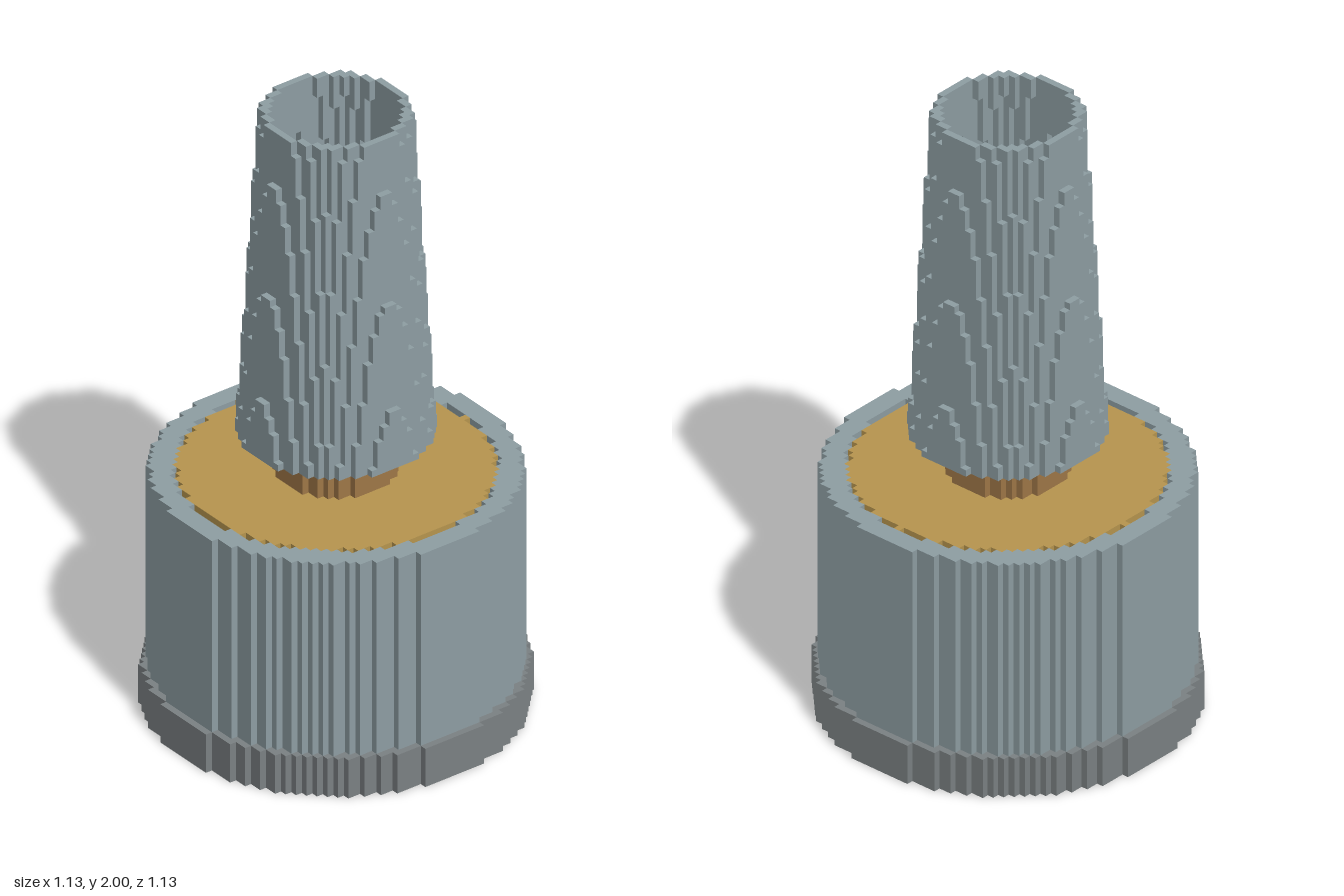
import * as THREE from 'three';

const V = 2 / 92; // edge of one cube
const SPAN = 27;  // half-width of the cube grid

// Outer shell of stacked cube layers. layers: [{ y0, y1, inside(i, j) }], bottom to top.
function cubeShell(name, color, layers) {
  const pos = [], nor = [];
  const quad = (a, u, v, n) => {
    const p = (s, t) => a.map((c, k) => (c + u[k] * s + v[k] * t) * V);
    for (const q of [p(0, 0), p(1, 0), p(1, 1), p(0, 0), p(1, 1), p(0, 1)]) {
      pos.push(...q);
      nor.push(...n);
    }
  };
  layers.forEach(({ y0, y1, inside }, k) => {
    const h = y1 - y0;
    const filled = (layer, i, j) => !!layer && layer.inside(i, j);
    for (let i = -SPAN; i < SPAN; i++) for (let j = -SPAN; j < SPAN; j++) {
      if (!inside(i, j)) continue;
      if (!inside(i + 1, j)) quad([i + 1, y0, j], [0, h, 0], [0, 0, 1], [1, 0, 0]);
      if (!inside(i - 1, j)) quad([i, y0, j], [0, 0, 1], [0, h, 0], [-1, 0, 0]);
      if (!inside(i, j + 1)) quad([i, y0, j + 1], [1, 0, 0], [0, h, 0], [0, 0, 1]);
      if (!inside(i, j - 1)) quad([i, y0, j], [0, h, 0], [1, 0, 0], [0, 0, -1]);
      if (!filled(layers[k + 1], i, j)) quad([i, y1, j], [0, 0, 1], [1, 0, 0], [0, 1, 0]);
      if (!filled(layers[k - 1], i, j)) quad([i, y0, j], [1, 0, 0], [0, 0, 1], [0, -1, 0]);
    }
  });
  const geo = new THREE.BufferGeometry();
  geo.setAttribute('position', new THREE.Float32BufferAttribute(pos, 3));
  geo.setAttribute('normal', new THREE.Float32BufferAttribute(nor, 3));
  const mesh = new THREE.Mesh(geo, new THREE.MeshStandardMaterial({ color }));
  mesh.name = name;
  return mesh;
}

// Cells whose centre lies between two radii
const ring = (inner, outer) => (i, j) => {
  const d = Math.hypot(i + 0.5, j + 0.5);
  return d > inner && d <= outer;
};

export function createModel() {
  const model = new THREE.Group();
  model.name = 'model';

  // Base plate and the wall standing on it
  model.add(cubeShell('basePlate', 0x7c8284, [{ y0: 0, y1: 6, inside: ring(0, 26) }]));
  model.add(cubeShell('outerWall', 0x8f9fa4, [{ y0: 6, y1: 36, inside: ring(21.9, 24.95) }]));

  // Filling, a hair short of the wall, touching it at two cells
  const disc = ring(0, 21.5);
  const filling = (i, j) => disc(i, j) || (i === 0 && j === -22) || (i === -22 && j === -1);
  model.add(cubeShell('filling', 0xb8964f, [{ y0: 6, y1: 36, inside: filling }]));

  // Neck under the tube
  model.add(cubeShell('neck', 0xa07848, [{ y0: 36, y1: 42, inside: ring(0, 8) }]));

  // Thin open tube, tapering upward one layer at a time
  const tube = Array.from({ length: 50 }, (_, k) => {
    const r = 13 - (3 * k) / 50;
    return { y0: 42 + k, y1: 43 + k, inside: ring(r - 1, r) };
  });
  model.add(cubeShell('taperedTube', 0x8f9fa4, tube));

  return model;
}
